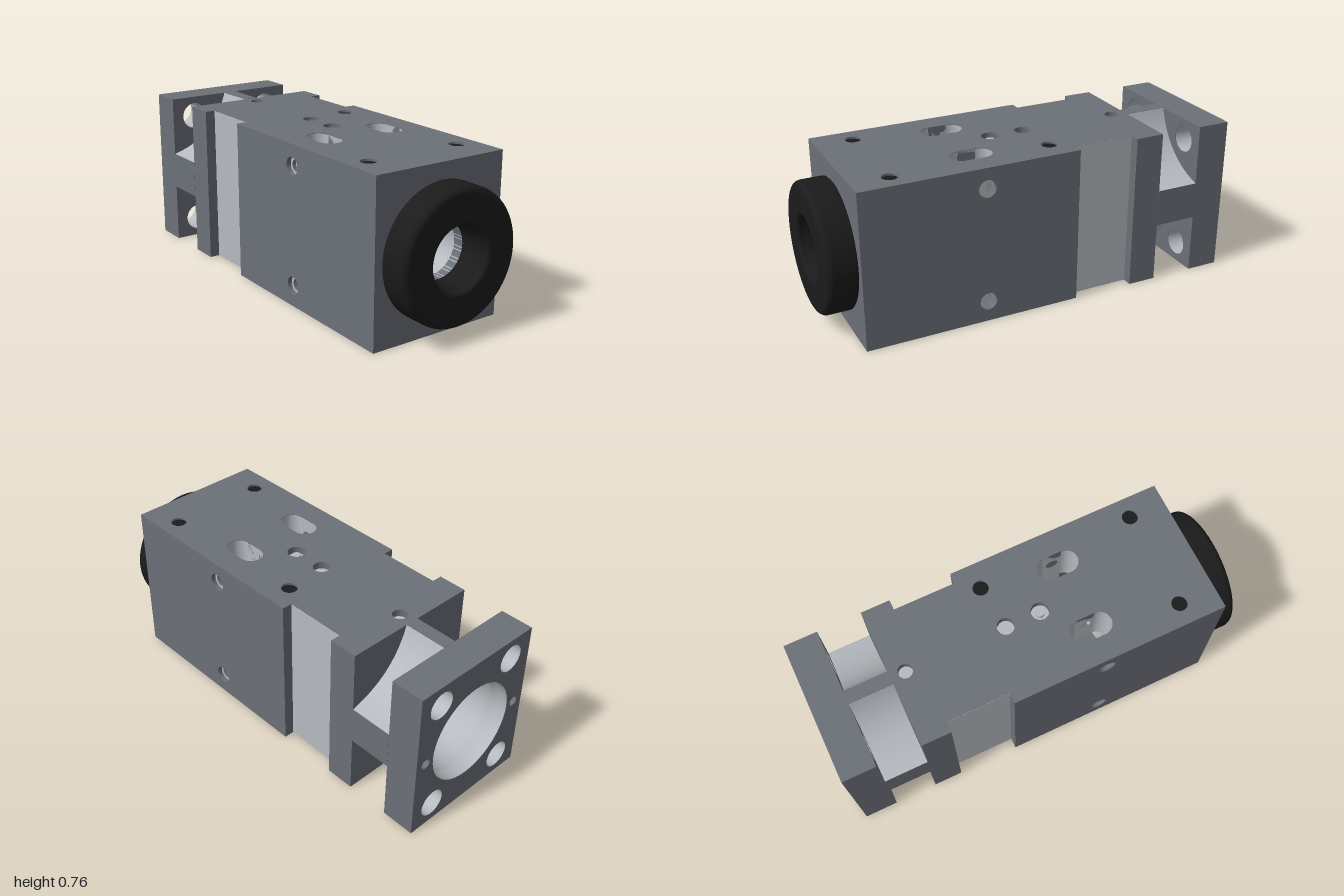
import * as THREE from 'three';

const MID = 0.38, HZ = 0.34, H = 0.76;
const mat = (color, side = THREE.FrontSide) => new THREE.MeshStandardMaterial({ color, side });

export function createModel() {
  const group = new THREE.Group();
  const dark = mat(0x6c7078), bare = mat(0xb6bbc0), black = mat(0x1b1b1b);
  const bareThin = mat(0xb6bbc0, THREE.DoubleSide);

  const add = (name, geometry, material = dark) => {
    const mesh = new THREE.Mesh(geometry, material);
    mesh.name = name;
    group.add(mesh);
    return mesh;
  };
  const box = (name, x0, x1, y0, y1, z0, z1, material) =>
    add(name, new THREE.BoxGeometry(x1 - x0, y1 - y0, z1 - z0), material)
      .position.set((x0 + x1) / 2, (y0 + y1) / 2, (z0 + z1) / 2);
  const polygon = (pts) => new THREE.Shape(pts.map(([x, y]) => new THREE.Vector2(x, y)));
  const rect = (x0, x1, y0, y1) => polygon([[x0, y0], [x1, y0], [x1, y1], [x0, y1]]);
  const circle = (x, y, r) => new THREE.Path().absarc(x, y, r, 0, Math.PI * 2, true);
  const extrude = (shape, depth) =>
    new THREE.ExtrudeGeometry(shape, { depth, bevelEnabled: false, curveSegments: 24 });
  // Cross-section (z, y) swept along the long axis
  const alongX = (name, shape, x0, x1, material) =>
    add(name, extrude(shape, x1 - x0).rotateY(Math.PI / 2).translate(x0, 0, 0), material);
  // Profile of [radius, x] turned about the long axis
  const turned = (name, pts, material) => {
    const profile = pts.map(([r, x]) => new THREE.Vector2(r, x));
    return add(name, new THREE.LatheGeometry(profile, 64).rotateZ(-Math.PI / 2).translate(0, MID, 0), material);
  };

  // Mounting flange with centre bore, bolt holes and two pin holes
  const flange = rect(-HZ, HZ, 0, H);
  flange.holes.push(circle(0, MID, 0.24));
  for (const s of [-1, 1]) {
    flange.holes.push(circle(s * 0.285, MID, 0.024));
    for (const t of [-1, 1]) {
      flange.holes.push(circle(s * 0.217, MID + t * 0.28, 0.066));
      const liner = new THREE.CylinderGeometry(0.0655, 0.0655, 0.158, 32, 1, true).rotateZ(Math.PI / 2);
      add('boltHole', liner, bareThin).position.set(-0.92, MID + t * 0.28, s * 0.217);
    }
  }
  alongX('flange', flange, -1, -0.84);

  // Neck with four concave corner pockets
  const a = 0.09, b = 0.033, cz = 0.1, cy = 0.15;
  const neck = new THREE.Shape();
  neck.moveTo(HZ, MID - a);
  neck.lineTo(HZ, MID + a);
  neck.quadraticCurveTo(cz, MID + cy, b, H);
  neck.lineTo(-b, H);
  neck.quadraticCurveTo(-cz, MID + cy, -HZ, MID + a);
  neck.lineTo(-HZ, MID - a);
  neck.quadraticCurveTo(-cz, MID - cy, -b, 0);
  neck.lineTo(b, 0);
  neck.quadraticCurveTo(cz, MID - cy, HZ, MID - a);
  neck.holes.push(circle(0, MID, 0.215));
  alongX('neck', neck, -0.84, -0.63, bare);
  for (const s of [-1, 1]) {
    const z = s * (HZ - 0.001), y = MID + s * (MID - 0.001);
    box('neckSideFace', -0.84, -0.63, MID - a, MID + a, z - 0.002, z + 0.002, dark);
    box('neckEdgeFace', -0.84, -0.63, y - 0.002, y + 0.002, -b, b, dark);
  }

  // Top and bottom plates, notched at the waist
  const slotX = 0.27, slotZ = 0.169, slotR = 0.056, slotHalf = 0.1 - slotR;
  const screws = [[-0.095, -0.217], [0.68, -0.243], [0.68, 0.237]];
  const dowels = [[-0.56, 0, 0.034], [-0.072, 0, 0.04], [0.098, 0, 0.042]];
  const T = 0.05;
  const plate = (name, top, extra) => {
    const w = 0.29;
    const shape = polygon([[-0.63, -HZ], [-0.49, -HZ], [-0.49, -w], [-0.19, -w], [-0.19, -HZ], [0.86, -HZ],
      [0.86, HZ], [-0.19, HZ], [-0.19, w], [-0.49, w], [-0.49, HZ], [-0.63, HZ]]);
    for (const s of [-1, 1]) {
      const slot = new THREE.Path();
      slot.absarc(slotX + slotHalf, s * slotZ, slotR, -Math.PI / 2, Math.PI / 2, false);
      slot.absarc(slotX - slotHalf, s * slotZ, slotR, Math.PI / 2, Math.PI * 1.5, false);
      slot.closePath();
      shape.holes.push(slot);
    }
    for (const [x, z] of screws) shape.holes.push(circle(x, z, 0.037));
    for (const [x, z, r] of extra) shape.holes.push(circle(x, z, r));
    add(name, extrude(shape, T).rotateX(Math.PI / 2).translate(0, top, 0));
  };
  plate('topPlate', H, dowels);
  plate('bottomPlate', T, []);

  // Floors of the blind holes
  const floor = (name, x, y, z, r, material) =>
    add(name, new THREE.CylinderGeometry(r, r, 0.03, 24), material).position.set(x, y, z);
  for (const [x, z] of screws) {
    floor('screwPlug', x, 0.735, z, 0.0368, black);
    floor('screwEnd', x, 0.035, z, 0.04, bare);
  }
  for (const [x, z, r] of dowels) floor('dowelHoleFloor', x, 0.71, z, r + 0.003, bare);
  floor('dowelCentre', 0.098, 0.73, 0, 0.02, bare);

  // Front block behind the neck and end wall under the ring
  const section = (r) => {
    const s = rect(-HZ, HZ, T, H - T);
    s.holes.push(circle(0, MID, r));
    return s;
  };
  alongX('shoulderBlock', section(0.2), -0.63, -0.49);
  alongX('endWall', section(0.13), 0.81, 0.86);

  // Side walls with cross holes, and the bare waist faces
  const crossY = [0.1, 0.66];
  for (const s of [-1, 1]) {
    const wall = rect(-0.19, 0.81, T, H - T);
    for (const y of crossY) wall.holes.push(circle(slotX, y, 0.042));
    add('sideWall', extrude(wall, T).translate(0, 0, s > 0 ? HZ - T : -HZ));
    for (const y of crossY)
      add('crossHoleSeat', new THREE.RingGeometry(0.028, 0.044, 32), bareThin).position.set(slotX, y, s * 0.318);
    box('waistFace', -0.49, -0.19, 0.001, H - 0.001, s * 0.27 - 0.021, s * 0.27 + 0.021, bare);
  }

  // Slot linings, pierced by the cross holes and the bore
  for (const s of [-1, 1]) {
    for (const side of [-1, 1]) {
      const shape = rect(slotX - slotHalf, slotX + slotHalf, 0.002, H - 0.002);
      for (const y of crossY) shape.holes.push(circle(slotX, y, 0.03));
      if (side < 0) {
        const w = slotHalf - 0.001;
        shape.holes.push(rect(slotX - w, slotX + w, MID - 0.13, MID + 0.13));
      }
      add('slotWall', new THREE.ShapeGeometry(shape, 24), bareThin)
        .position.z = s * (slotZ + side * slotR);
      const end = new THREE.CylinderGeometry(slotR, slotR, H - 0.004, 16, 1, true, side > 0 ? 0 : Math.PI, Math.PI);
      // Inner quarter of each end is kept clear of the bore by a small height gap
      for (const y of [0.125, H - 0.125])
        add('slotEnd', end.clone().scale(1, 0.246 / (H - 0.004), 1), bareThin)
          .position.set(slotX + side * slotHalf, y, s * slotZ);
    }
  }

  // Stepped bore
  turned('bore', [[0.239, -0.999], [0.239, -0.95], [0.225, -0.94], [0.225, -0.9], [0.214, -0.9], [0.214, -0.63],
    [0.199, -0.63], [0.199, 0.12], [0.13, 0.12], [0.13, 0.16]], bareThin);
  turned('rearBore', [[0.13, 0.38], [0.13, 0.86]], bareThin);

  // Black end ring with rounded rim and dished inner lip
  const ring = [[0.13, 0.86], [0.3, 0.86], [0.307, 0.867]];
  for (let i = 0; i <= 6; i++) {
    const t = (i / 6) * Math.PI / 2;
    ring.push([0.277 + 0.03 * Math.cos(t), 0.97 + 0.03 * Math.sin(t)]);
  }
  for (let i = 0; i <= 6; i++) {
    const t = (i / 6) * Math.PI / 2;
    ring.push([0.165 - 0.02 * Math.sin(t), 0.98 + 0.02 * Math.cos(t)]);
  }
  ring.push([0.145, 0.96], [0.13, 0.95], [0.13, 0.86]);
  turned('endRing', ring, mat(0x1b1b1b, THREE.DoubleSide));

  return group;
}
